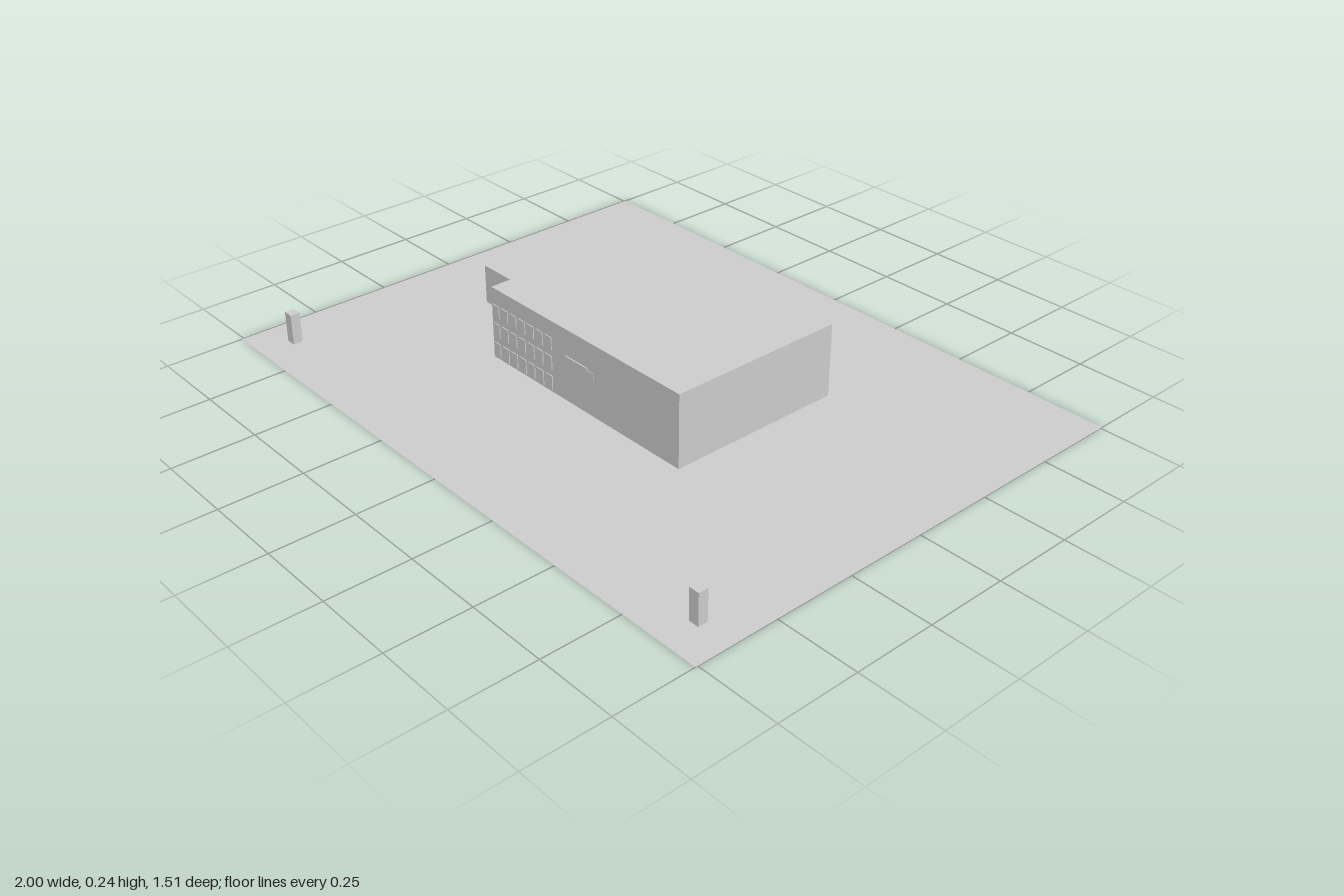
import * as THREE from 'three';

export function createModel() {
  const model = new THREE.Group();
  model.name = 'warehouseSite';

  const concrete = new THREE.MeshStandardMaterial({ color: 0xcccccc });
  concrete.name = 'light grey concrete';
  const ground = new THREE.MeshStandardMaterial({ color: 0xcccccc, side: THREE.DoubleSide });
  ground.name = 'light grey ground';

  // Box given by its minimum and maximum corners
  function block(name, x0, x1, y0, y1, z0, z1, parent = model) {
    const mesh = new THREE.Mesh(new THREE.BoxGeometry(x1 - x0, y1 - y0, z1 - z0), concrete);
    mesh.position.set((x0 + x1) / 2, (y0 + y1) / 2, (z0 + z1) / 2);
    mesh.name = name;
    parent.add(mesh);
    return mesh;
  }

  // Flat lot
  const lot = new THREE.Mesh(new THREE.PlaneGeometry(2, 1.514), ground);
  lot.rotation.x = -Math.PI / 2;
  lot.name = 'groundPlane';
  model.add(lot);

  // Main hall and lower side annex, raised slightly off the lot
  const front = 0.263;
  block('mainHall', -0.4, 0.4, 0.012, 0.24, -0.304, front);
  block('sideAnnex', -0.69, -0.4, 0.012, 0.138, -0.122, 0.077);

  // Three rows of seven windows on the front wall
  const windows = new THREE.Group();
  windows.name = 'frontWindows';
  model.add(windows);
  for (const [y0, y1] of [[0.148, 0.188], [0.084, 0.128], [0.018, 0.064]]) {
    for (let i = 0; i < 7; i++) {
      const x = -0.395 + i * 0.04;
      block('window', x, x + 0.029, y0, y1, front - 0.001, front + 0.003, windows);
    }
  }

  // Wall panel with a thin ledge above it
  block('wallPanel', -0.065, 0.055, 0.128, 0.15, front - 0.001, front + 0.002);
  block('panelLedge', -0.065, 0.03, 0.15, 0.157, front - 0.001, front + 0.004);

  // Gate posts at the two front corners
  for (const side of [-1, 1]) {
    const x = side * 0.885;
    block(side > 0 ? 'leftGatePost' : 'rightGatePost', x - 0.016, x + 0.016, 0, 0.097, 0.627, 0.657);
  }

  return model;
}
